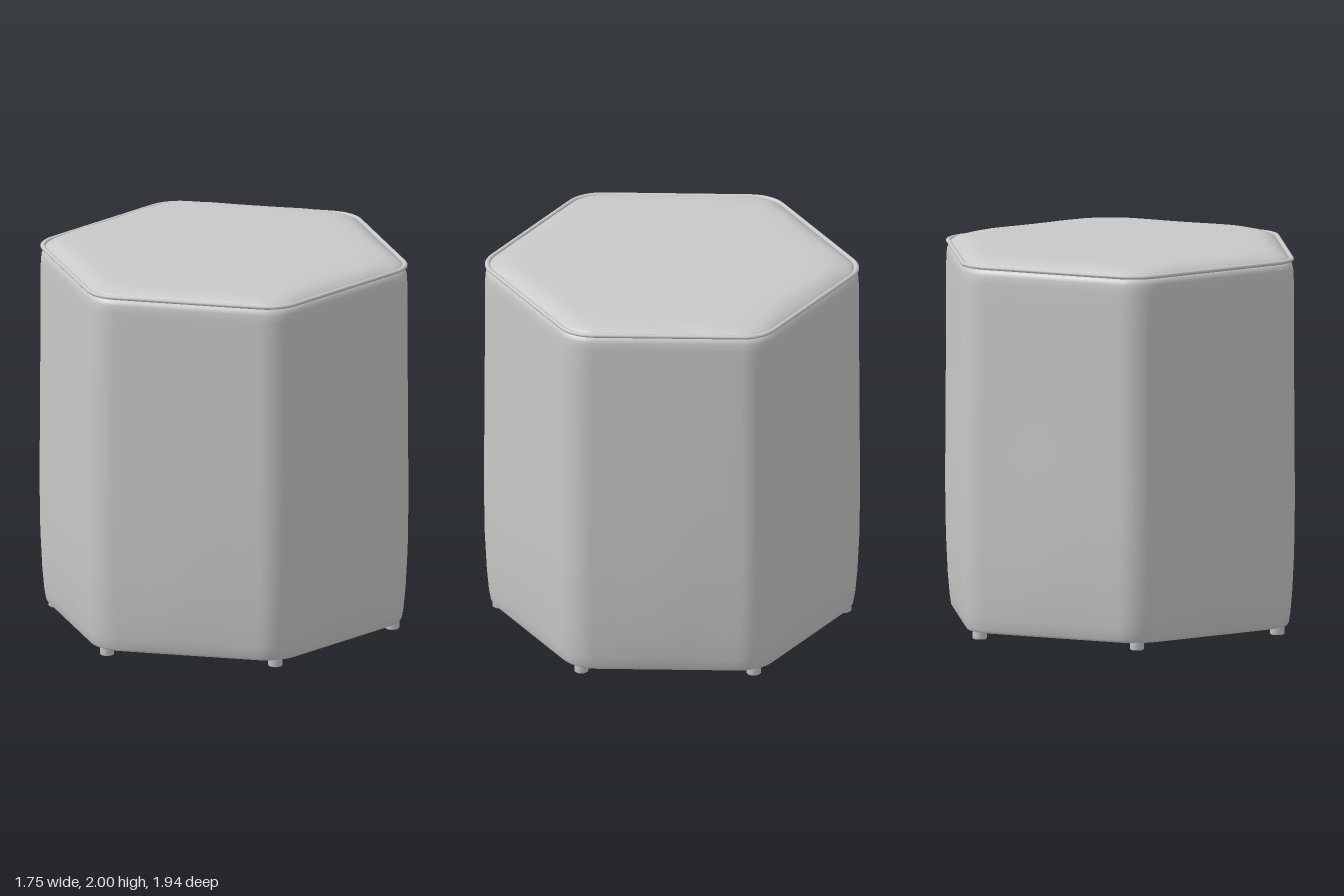
import * as THREE from 'three';

const ARC = 8, FLAT = 8;

// Rounded hexagon with corners on the z axis; bulge swells the middle of each side
function hexRing(apothem, radius, bulge = 0) {
  const r = Math.min(radius, apothem * 0.6);
  const centre = (apothem - r) / Math.cos(Math.PI / 6);
  const half = centre / 2; // half length of a straight side
  const pts = [];
  for (let k = 0; k < 6; k++) {
    const t = k * Math.PI / 3;
    for (let i = 0; i <= ARC; i++) {
      const p = t + (i / ARC - 0.5) * Math.PI / 3;
      pts.push([Math.sin(t) * centre + Math.sin(p) * r, Math.cos(t) * centre + Math.cos(p) * r]);
    }
    const n = t + Math.PI / 6;
    for (let i = 1; i < FLAT; i++) {
      const s = (2 * i / FLAT - 1) * half;
      const d = apothem + bulge * Math.sin(Math.PI * i / FLAT) ** 2;
      pts.push([Math.sin(n) * d + Math.cos(n) * s, Math.cos(n) * d - Math.sin(n) * s]);
    }
  }
  return pts;
}

// Skin through rings given as [apothem, y, corner radius, bulge]
function loft(rings) {
  const pos = [], idx = [];
  let n = 0;
  for (const [a, y, r, b] of rings) {
    const ring = hexRing(a, r, b);
    n = ring.length;
    for (const [x, z] of ring) pos.push(x, y, z);
  }
  for (let i = 0; i < rings.length - 1; i++) {
    for (let j = 0; j < n; j++) {
      const a = i * n + j, b = i * n + (j + 1) % n;
      idx.push(a, b, b + n, a, b + n, a + n);
    }
  }
  const g = new THREE.BufferGeometry();
  g.setAttribute('position', new THREE.Float32BufferAttribute(pos, 3));
  g.setIndex(idx);
  g.computeVertexNormals();
  return g;
}

export function createModel() {
  const group = new THREE.Group();
  const fabric = new THREE.MeshStandardMaterial({ color: 0xc8c8c8 });
  fabric.name = 'grey fabric';
  const add = (name, geometry) => {
    const mesh = new THREE.Mesh(geometry, fabric);
    mesh.name = name;
    group.add(mesh);
    return mesh;
  };

  // Upholstered sides, slightly fuller below the middle
  add('sideCover', loft([
    [0.828, 0.04, 0.2, 0], [0.838, 0.055, 0.2, 0], [0.846, 0.11, 0.2, 0.002],
    [0.855, 0.22, 0.2, 0.005], [0.864, 0.42, 0.2, 0.007], [0.868, 0.7, 0.2, 0.007],
    [0.866, 1.0, 0.2, 0.004], [0.864, 1.4, 0.2, 0], [0.863, 1.75, 0.2, 0],
    [0.862, 1.87, 0.2, 0], [0.859, 1.91, 0.2, 0], [0.852, 1.932, 0.2, 0],
    [0.838, 1.943, 0.2, 0], [0.8, 1.945, 0.2, 0],
  ]));

  // Flat base panel
  add('underside', loft([[0, 0.04, 0.2, 0], [0.828, 0.04, 0.2, 0]]));

  // Piping along the top seam
  const piping = [];
  for (let i = 0; i <= 10; i++) {
    const t = -Math.PI / 2 + i / 10 * Math.PI * 2;
    piping.push([0.852 + 0.012 * Math.cos(t), 1.953 + 0.011 * Math.sin(t), 0.2, 0]);
  }
  add('piping', loft(piping));

  // Padded seat, with the edge drawn in a little along each side
  const seat = loft([
    [0.846, 1.945, 0.2, 0], [0.838, 1.957, 0.2, -0.003], [0.825, 1.968, 0.2, -0.008],
    [0.806, 1.98, 0.2, -0.012], [0.78, 1.99, 0.2, -0.014], [0.74, 1.996, 0.22, -0.012],
    [0.66, 1.999, 0.24, 0], [0.4, 2, 0.24, 0], [0, 2, 0.2, 0],
  ]);
  // Shallow fabric puckers beside the corners
  const p = seat.attributes.position;
  for (let i = 0; i < p.count; i++) {
    const x = p.getX(i), z = p.getZ(i), d = Math.hypot(x, z);
    const corner = Math.max(0, Math.cos(6 * Math.atan2(x, z)));
    const edge = Math.exp(-(((d - 0.87) / 0.05) ** 2));
    p.setY(i, p.getY(i) - 0.008 * corner * edge);
  }
  seat.computeVertexNormals();
  add('seat', seat);

  // Six small round feet under the corners
  const footShape = [[0, 0], [0.032, 0], [0.037, 0.005], [0.037, 0.045]]
    .map(([x, y]) => new THREE.Vector2(x, y));
  const footGeometry = new THREE.LatheGeometry(footShape, 20);
  for (let k = 0; k < 6; k++) {
    const t = k * Math.PI / 3;
    add('foot', footGeometry).position.set(0.89 * Math.sin(t), 0, 0.89 * Math.cos(t));
  }
  return group;
}
